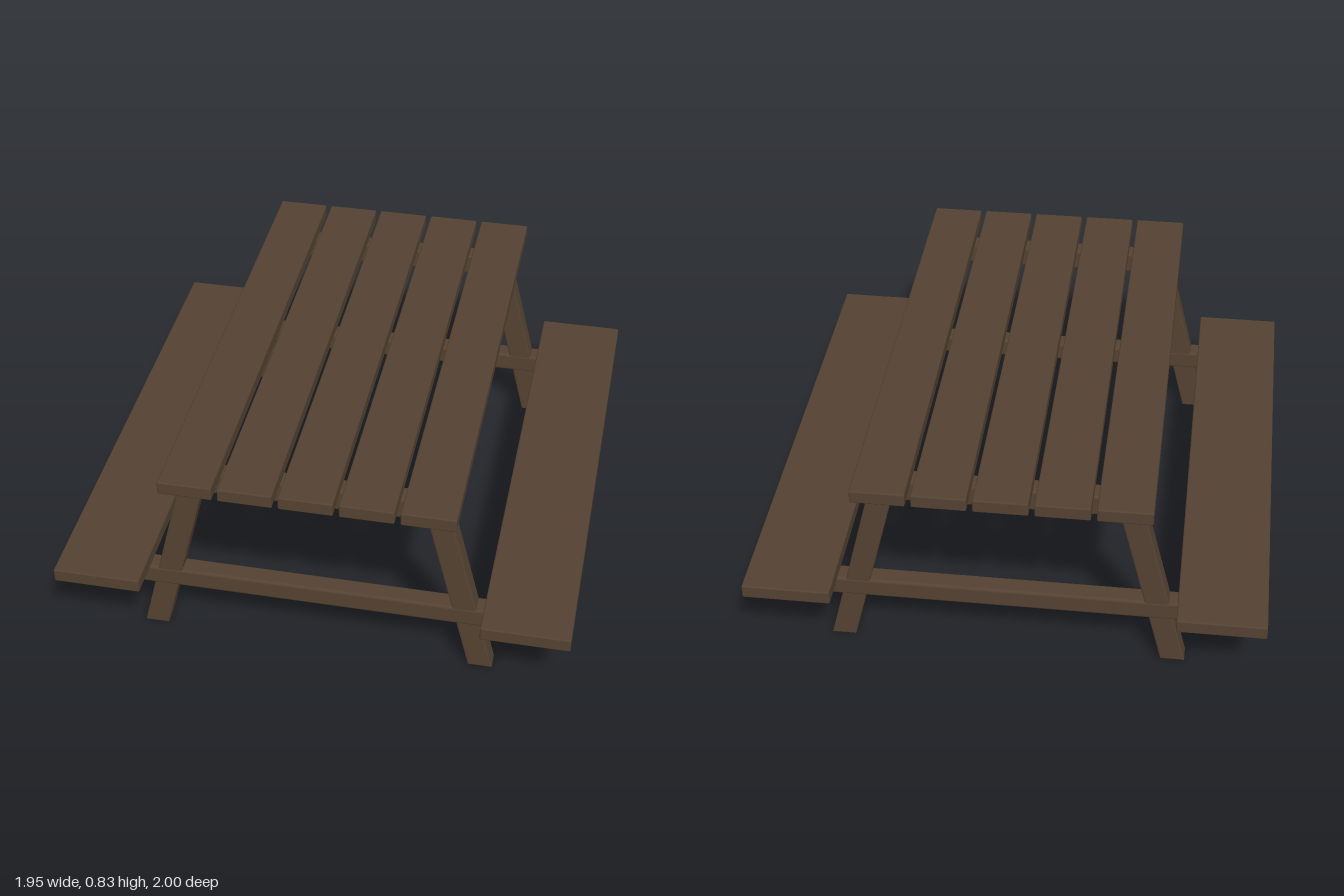
import * as THREE from 'three';
import { RoundedBoxGeometry } from 'three/addons/geometries/RoundedBoxGeometry.js';

export function createModel() {
  const table = new THREE.Group();
  table.name = 'picnicTable';
  const wood = new THREE.MeshStandardMaterial({ color: 0x544232 });

  // Board with softened edges, given by its size and centre
  function board(name, [w, h, d], [x, y, z], radius = 0.006) {
    const mesh = new THREE.Mesh(new RoundedBoxGeometry(w, h, d, 2, radius), wood);
    mesh.name = name;
    mesh.position.set(x, y, z);
    table.add(mesh);
  }

  // Table top: five planks with narrow gaps
  for (let i = -2; i <= 2; i++) {
    board('topPlank', [0.2, 0.053, 1.98], [i * 0.221, 0.799, 0]);
  }

  // Bench seats
  for (const side of [-1, 1]) {
    board(side > 0 ? 'leftSeat' : 'rightSeat', [0.332, 0.055, 2], [side * 0.809, 0.309, 0]);
  }

  // End frame: two splayed legs joined by a top rail
  const outline = new THREE.Shape([
    [-0.68, 0], [-0.51, 0.69], [-0.51, 0.772], [0.51, 0.772], [0.51, 0.69], [0.68, 0],
    [0.588, 0], [0.418, 0.69], [-0.418, 0.69], [-0.588, 0],
  ].map(([x, y]) => new THREE.Vector2(x, y)));
  const bevel = 0.006;
  const frameDepth = 0.075;
  const frameGeometry = new THREE.ExtrudeGeometry(outline, {
    depth: frameDepth - 2 * bevel, bevelEnabled: true, bevelSize: bevel,
    bevelThickness: bevel, bevelOffset: -bevel, bevelSegments: 2,
  });
  frameGeometry.translate(0, 0, bevel - frameDepth / 2);

  for (const end of [-1, 1]) {
    const frame = new THREE.Mesh(frameGeometry, wood);
    frame.name = end > 0 ? 'frontLegFrame' : 'backLegFrame';
    frame.position.z = end * 0.817;
    table.add(frame);

    // Crossbeam carrying the seats
    board(end > 0 ? 'frontCrossbeam' : 'backCrossbeam',
      [1.92, 0.08, frameDepth + 0.004], [0, 0.245, end * 0.817], 0.012);
  }

  return table;
}
